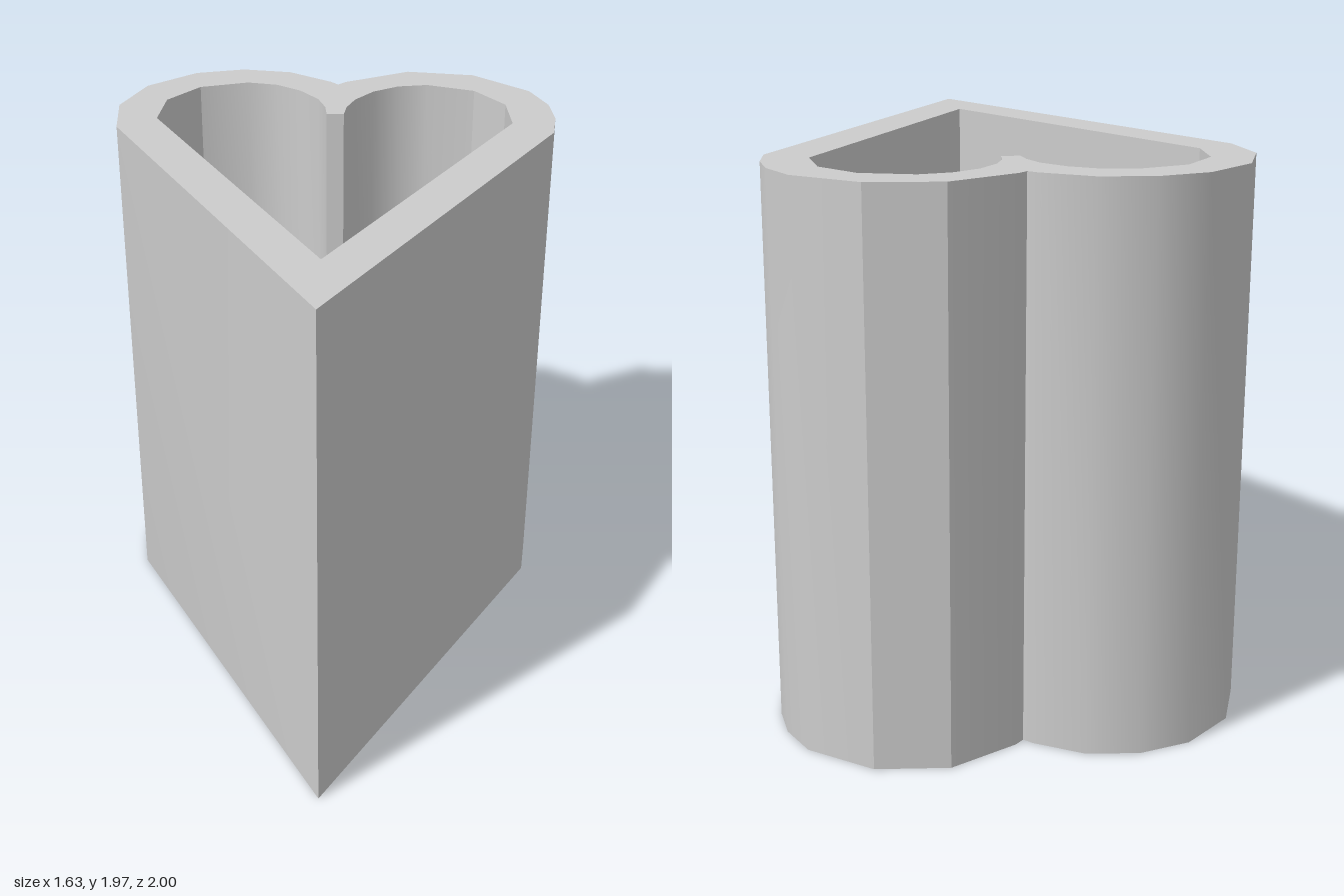
import * as THREE from 'three';
import { toCreasedNormals } from 'three/addons/utils/BufferGeometryUtils.js';

const HEIGHT = 1.97;

// Outlines are [x, z] pairs; the shape's y becomes -z once laid flat
const toPoints = (pairs) => pairs.map(([x, z]) => new THREE.Vector2(x, -z));

export function createModel() {
  const group = new THREE.Group();
  group.name = 'heartTube';

  // Outer heart, its two lobes faceted differently
  const outer = toPoints([
    [0, 1], [0.8, -0.39], [0.816, -0.53], [0.8, -0.665], [0.736, -0.805],
    [0.526, -0.97], [0.27, -1], [0.03, -0.877], [0, -0.848], [-0.03, -0.877],
    [-0.193, -0.976], [-0.378, -1], [-0.561, -0.953], [-0.736, -0.805],
    [-0.816, -0.6], [-0.795, -0.385],
  ]);

  // Inner heart opening, with a blunt cusp between the lobes
  const inner = toPoints([
    [0, 0.67], [0.655, -0.475], [0.638, -0.66], [0.525, -0.8], [0.344, -0.856],
    [0.233, -0.836], [0.138, -0.777], [0.07, -0.69], [0.04, -0.61], [0.032, -0.54],
    [-0.032, -0.54], [-0.04, -0.61], [-0.07, -0.69], [-0.143, -0.777],
    [-0.238, -0.836], [-0.35, -0.856], [-0.53, -0.8], [-0.643, -0.66], [-0.658, -0.475],
  ]);

  // Wall, open right through from top to bottom
  const shape = new THREE.Shape(outer);
  shape.holes.push(new THREE.Path(inner));
  const geometry = new THREE.ExtrudeGeometry(shape, { depth: HEIGHT, bevelEnabled: false });
  geometry.rotateX(-Math.PI / 2);

  const wall = new THREE.Mesh(
    toCreasedNormals(geometry, THREE.MathUtils.degToRad(30)),
    new THREE.MeshStandardMaterial({ color: 0xcccccc }),
  );
  wall.name = 'heartWall';
  group.add(wall);
  return group;
}
